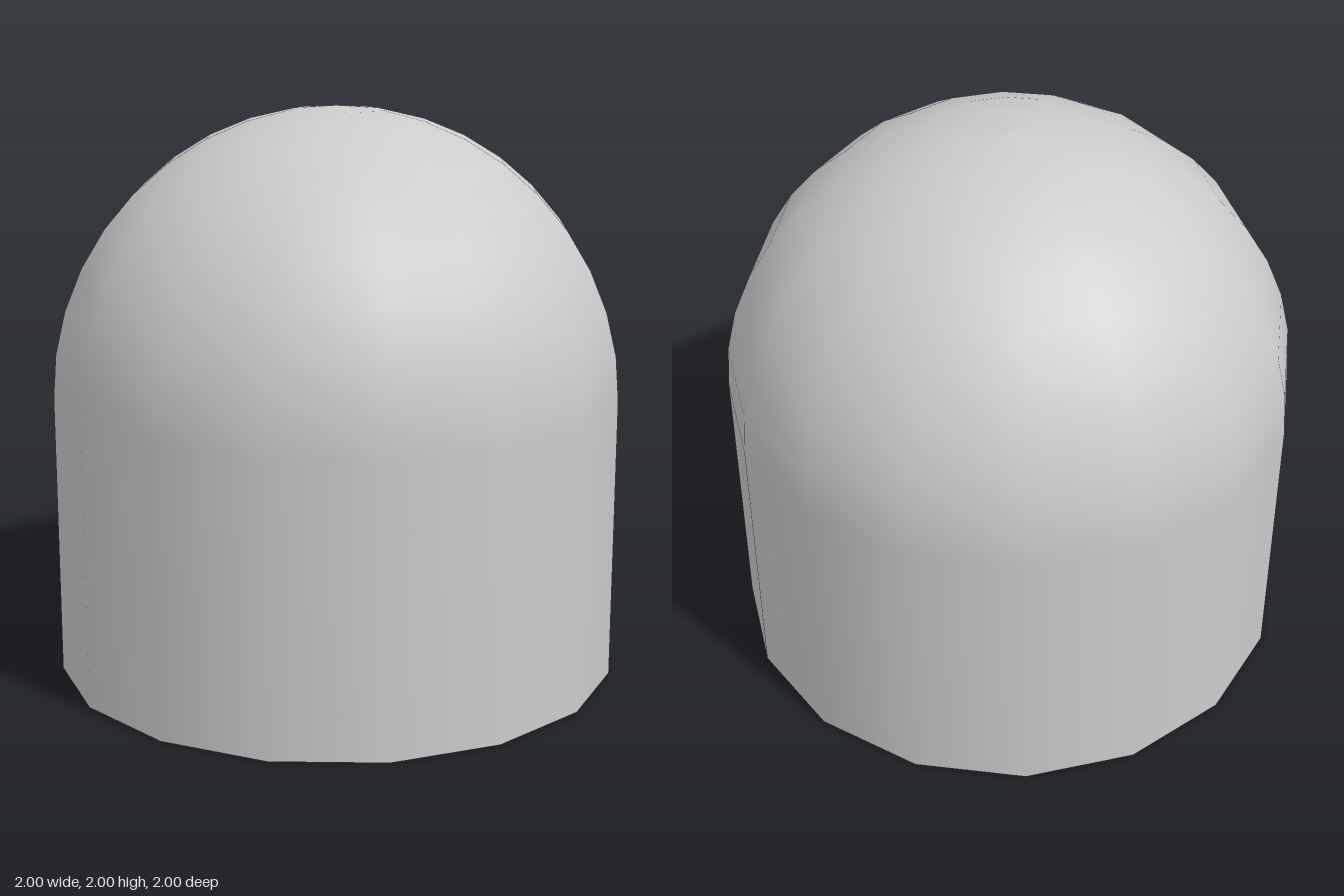
import * as THREE from 'three';

const SIDES = 16;
const DOME_STEPS = 10;

// Open-bottomed shell: straight wall topped by a hemisphere
function shellGeometry(radius) {
  const profile = [new THREE.Vector2(radius, 0)];
  for (let i = 0; i <= DOME_STEPS; i++) {
    const a = (i / DOME_STEPS) * Math.PI / 2;
    const r = i === DOME_STEPS ? 0 : radius * Math.cos(a);
    profile.push(new THREE.Vector2(r, radius + radius * Math.sin(a)));
  }
  return new THREE.LatheGeometry(profile, SIDES);
}

export function createModel() {
  const model = new THREE.Group();
  model.name = 'nestedDomes';
  const material = new THREE.MeshStandardMaterial({ color: 0xcccccc, side: THREE.DoubleSide });

  // Four nested shells, each three quarters the size of the one around it
  const names = ['outerShell', 'secondShell', 'thirdShell', 'innerShell'];
  names.forEach((name, i) => {
    const shell = new THREE.Mesh(shellGeometry(0.75 ** i), material);
    shell.name = name;
    model.add(shell);
  });
  return model;
}
